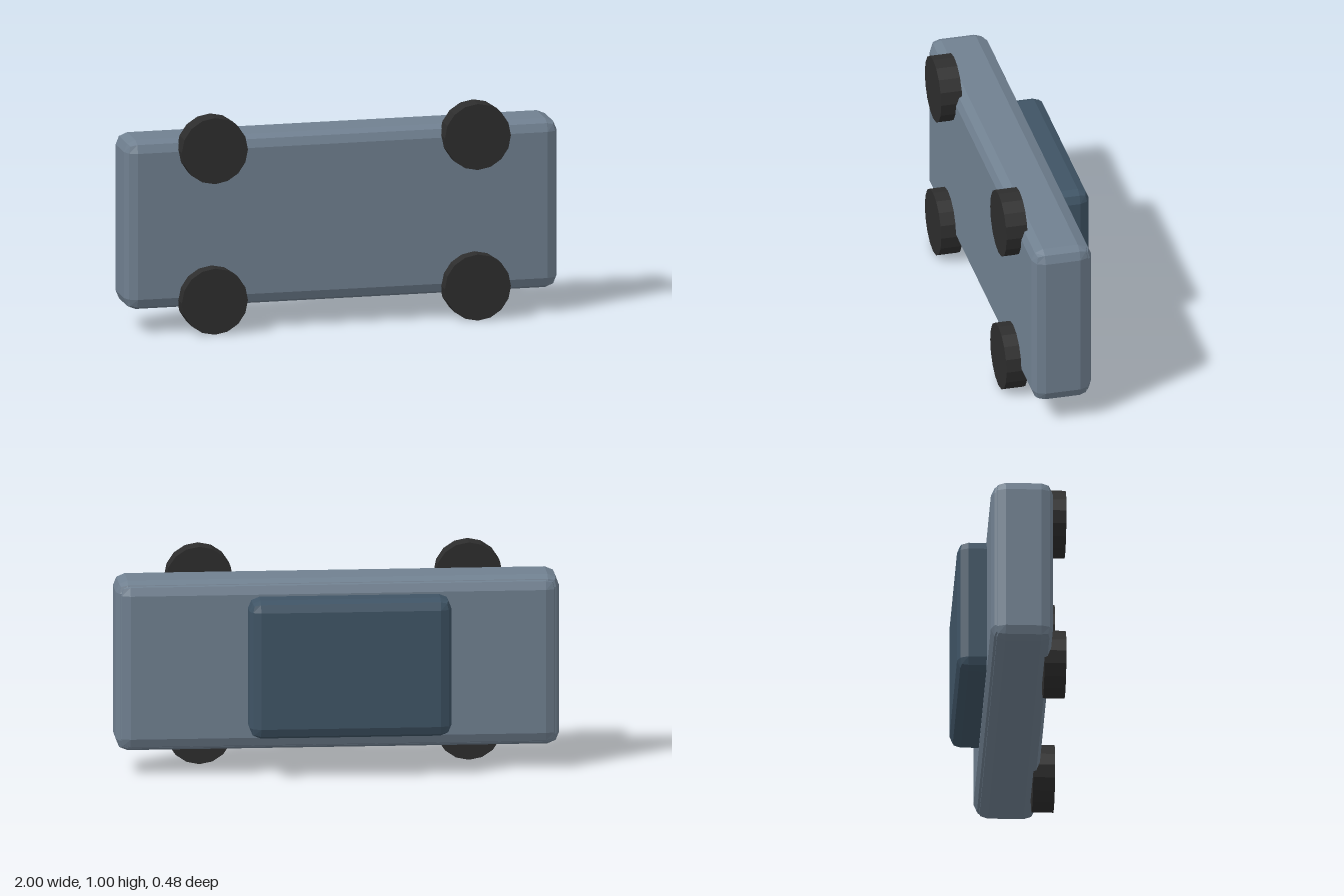
import * as THREE from 'three';
import { RoundedBoxGeometry } from 'three/addons/geometries/RoundedBoxGeometry.js';

const material = (name, color) => {
  const m = new THREE.MeshStandardMaterial({ color });
  m.name = name;
  return m;
};

// Faceted normals for a low-poly look
function faceted(geometry) {
  const g = geometry.index ? geometry.toNonIndexed() : geometry;
  g.computeVertexNormals();
  return g;
}

// Box with a two-step bevel, given its min and max corners
function bevelBox(name, min, max, radius, mat) {
  const size = max.map((v, i) => v - min[i]);
  const mesh = new THREE.Mesh(faceted(new RoundedBoxGeometry(...size, 1, radius)), mat);
  mesh.position.set(...max.map((v, i) => (v + min[i]) / 2));
  mesh.name = name;
  return mesh;
}

export function createModel() {
  const car = new THREE.Group();
  car.name = 'car';
  const paint = material('slate paint', 0x708090);
  const dark = material('dark blue cabin', 0x3f5465);
  const rubber = material('black rubber', 0x2d2d2d);

  // Car tipped on its side: underside and wheels face +z, roof faces -z
  car.add(bevelBox('body', [-1, 0.11, -0.096], [1, 0.89, 0.171], 0.053, paint));
  car.add(bevelBox('upperBody', [-0.99, 0.118, -0.108], [0.99, 0.882, 0.1], 0.053, paint));
  car.add(bevelBox('cabin', [-0.503, 0.185, -0.24], [0.408, 0.82, 0], 0.05, dark));

  // Four wheels with their axles along z
  const wheelGeometry = faceted(new THREE.CylinderGeometry(0.1525, 0.1525, 0.098, 16).rotateX(Math.PI / 2));
  for (const [side, x] of [['rear', -0.608], ['front', 0.608]]) {
    for (const [level, y] of [['Lower', 0.1525], ['Upper', 0.8475]]) {
      const wheel = new THREE.Mesh(wheelGeometry, rubber);
      wheel.position.set(x, y, 0.191);
      wheel.name = `${side}${level}Wheel`;
      car.add(wheel);
    }
  }
  return car;
}
